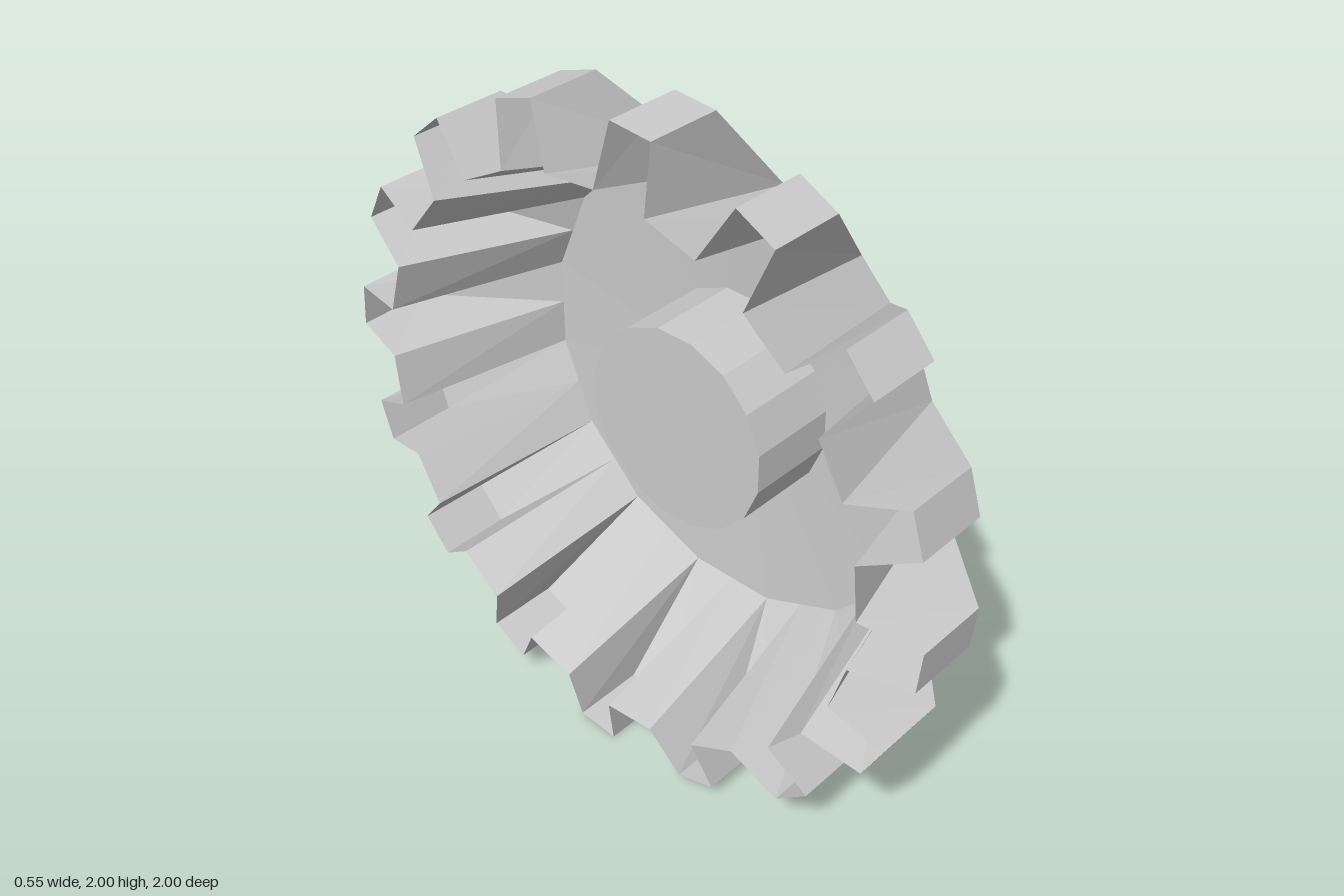
import * as THREE from 'three';

const TEETH = 16;
const STEP = (Math.PI * 2) / TEETH;
const HALF = STEP / 2;

// Stations along the axle (x) and radii
const FRONT_X = 0.257, CREST_FRONT_X = -0.02, CREST_BACK_X = -0.24, BACK_X = -0.277;
const FACE_X = 0.275, SOCKET_X = 0.0;
const FRONT_R = 0.7, ROOT_R = 0.83, CREST_R = 1, HOLE_R = 0.303;

// Point at a distance along the axle, a radius and an angle from the top
const at = (x, r, a) => [x, r * Math.cos(a), -r * Math.sin(a)];

// Thin corrugated shell: hollow bevelled teeth with root strips between them
function toothedShell() {
  const pos = [];
  const quad = (a, b, c, d) => pos.push(...a, ...b, ...c, ...a, ...c, ...d);
  const crestLow = HALF - 0.15, crestHigh = HALF - 0.021;
  for (let i = 0; i < TEETH; i++) {
    const start = i * STEP - HALF;
    const low = start + HALF - crestLow - 0.104;
    const high = start + crestHigh;
    const mid = start + HALF;
    const f0 = at(FRONT_X, FRONT_R, start);
    const f1 = at(FRONT_X, FRONT_R * Math.cos(HALF), mid);
    const f2 = at(FRONT_X, FRONT_R, start + STEP);
    const r0 = at(BACK_X, ROOT_R, start);
    const r1 = at(BACK_X, ROOT_R, mid);
    const r2 = at(BACK_X, ROOT_R, start + STEP);
    const c0 = at(CREST_FRONT_X, CREST_R, low), c1 = at(CREST_FRONT_X, CREST_R, high);
    const b0 = at(CREST_BACK_X, CREST_R, low), b1 = at(CREST_BACK_X, CREST_R, high);
    quad(f0, c0, b0, r0); // one flank
    quad(f0, f1, c1, c0); // sloping crest
    quad(c0, c1, b1, b0); // level crest
    quad(c1, f1, r1, b1); // other flank
    quad(f1, f2, r2, r1); // root strip
  }
  const g = new THREE.BufferGeometry();
  g.setAttribute('position', new THREE.Float32BufferAttribute(pos, 3));
  g.computeVertexNormals();
  return g;
}

// Profile of [radius, x] pairs turned around the axle
function turned(profile) {
  const points = profile.map(([r, x]) => new THREE.Vector2(r, x));
  return new THREE.LatheGeometry(points, TEETH, HALF).rotateZ(-Math.PI / 2);
}

export function createModel() {
  const group = new THREE.Group();
  group.name = 'bevelGear';
  const material = new THREE.MeshStandardMaterial({
    color: 0xcccccc, flatShading: true, side: THREE.DoubleSide,
  });
  const add = (name, geometry) => {
    const mesh = new THREE.Mesh(geometry, material);
    mesh.name = name;
    mesh.position.y = 1;
    group.add(mesh);
  };

  add('teeth', toothedShell());
  // Slightly domed ring on the narrow end
  add('facePlate', turned([[FRONT_R, FRONT_X], [HOLE_R, FACE_X]]));
  // Blind axle socket, closed at its inner end
  add('axleSocket', turned([[HOLE_R, FACE_X], [HOLE_R, SOCKET_X], [0, SOCKET_X]]));
  return group;
}
